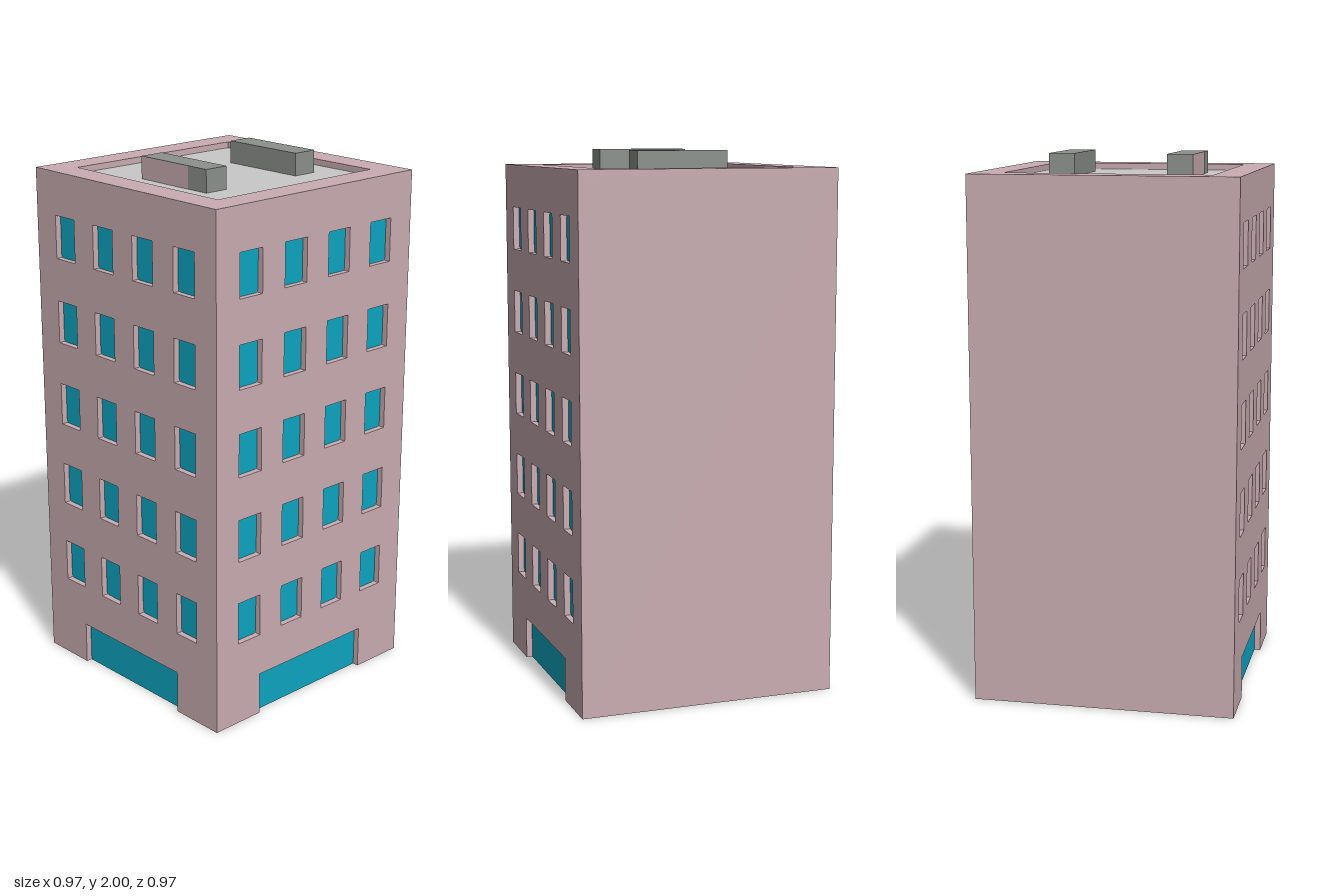
import * as THREE from 'three';

const HALF = 0.485;          // half width of the block
const TOP = 1.94;            // top of the parapet
const RECESS = 0.025;        // depth of windows and roof well
const COL = HALF * 2 / 9;    // facade grid: 9 columns, 12 rows
const ROW = TOP / 12;
const ROOF = TOP - RECESS;

const material = (name, color) => {
  const m = new THREE.MeshStandardMaterial({ color });
  m.name = name;
  return m;
};

// Polygon from a list of corner points
const polygon = (pts, Kind = THREE.Shape) => new Kind(pts.map(([x, y]) => new THREE.Vector2(x, y)));
const rect = (x0, y0, x1, y1, Kind) => polygon([[x0, y0], [x1, y0], [x1, y1], [x0, y1]], Kind);

// Pane with tiny cut corners; the lower ones may stay square
function paneShape(x0, y0, x1, y1, cut, cutLow = cut) {
  return polygon([
    [x0 + cutLow, y0], [x1 - cutLow, y0], [x1, y0 + cutLow], [x1, y1 - cut],
    [x1 - cut, y1], [x0 + cut, y1], [x0, y1 - cut], [x0, y0 + cutLow],
  ]);
}

export function createModel() {
  const wall = material('pink wall', 0xc9adb2);
  const glass = material('blue glass', 0x0ea5c2);
  const roofGrey = material('light roof', 0xc8c8c8);
  const unitGrey = material('grey roof unit', 0x8c918c);

  const model = new THREE.Group();
  model.name = 'apartmentBlock';

  const add = (parent, name, geometry, mat, x = 0, y = 0, z = 0) => {
    const mesh = new THREE.Mesh(geometry, mat);
    mesh.name = name;
    mesh.position.set(x, y, z);
    parent.add(mesh);
    return mesh;
  };

  // Solid core behind the two pierced facades
  const coreWidth = HALF * 2 - RECESS;
  add(model, 'core', new THREE.BoxGeometry(coreWidth, ROOF, coreWidth), wall,
    -RECESS / 2, ROOF / 2, -RECESS / 2);

  // Window grid: four columns on each of five floors
  const windows = [];
  for (let floor = 0; floor < 5; floor++) {
    for (let i = 0; i < 4; i++) {
      const x = (i * 2 - 3.5) * COL;
      const y = (floor * 2 + 2) * ROW;
      windows.push([x, y, x + COL, y + ROW]);
    }
  }
  const door = 2.5 * COL;

  // Facade slab with window holes, an entrance notch and recessed glass
  function facade(name, xMin) {
    const group = new THREE.Group();
    group.name = name;
    const shape = polygon([
      [xMin, 0], [-door, 0], [-door, ROW], [door, ROW], [door, 0],
      [HALF, 0], [HALF, ROOF], [xMin, ROOF],
    ]);
    shape.holes = windows.map((w) => rect(...w, THREE.Path));
    add(group, name + 'Wall',
      new THREE.ExtrudeGeometry(shape, { depth: RECESS, bevelEnabled: false }), wall);
    add(group, name + 'Windows',
      new THREE.ShapeGeometry(windows.map((w) => paneShape(...w, 0.009))), glass, 0, 0, 0.002);
    add(group, name + 'Entrance',
      new THREE.ShapeGeometry(paneShape(-door, 0, door, ROW, 0.009, 0)), glass, 0, 0, 0.002);
    model.add(group);
    return group;
  }

  facade('frontFacade', -HALF).position.z = HALF - RECESS;
  const side = facade('leftFacade', -HALF + RECESS);
  side.rotation.y = Math.PI / 2;
  side.position.x = HALF - RECESS;

  // Parapet frame around the roof well
  const well = 3.5 * COL;
  const frame = rect(-HALF, -HALF, HALF, HALF);
  frame.holes.push(rect(-well, -well, well, well, THREE.Path));
  add(model, 'parapet',
    new THREE.ExtrudeGeometry(frame, { depth: RECESS, bevelEnabled: false }), wall, 0, ROOF, 0)
    .rotation.x = -Math.PI / 2;

  // Roof surface
  add(model, 'roof', new THREE.ShapeGeometry(paneShape(-well, -well, well, well, 0.009)),
    roofGrey, 0, ROOF + 0.002, 0).rotation.x = -Math.PI / 2;

  // Two long roof units, the front one with a painted panel
  const unitHeight = 2 - ROOF;
  for (const [name, z] of [['frontRoofUnit', 0.217], ['backRoofUnit', -0.222]]) {
    add(model, name, new THREE.BoxGeometry(0.343, unitHeight, 0.096), unitGrey,
      0.026, ROOF + unitHeight / 2, z);
  }
  add(model, 'roofUnitPanel', new THREE.PlaneGeometry(0.25, unitHeight), wall,
    -0.0205, ROOF + unitHeight / 2, 0.217 + 0.048 + 0.001);

  return model;
}
